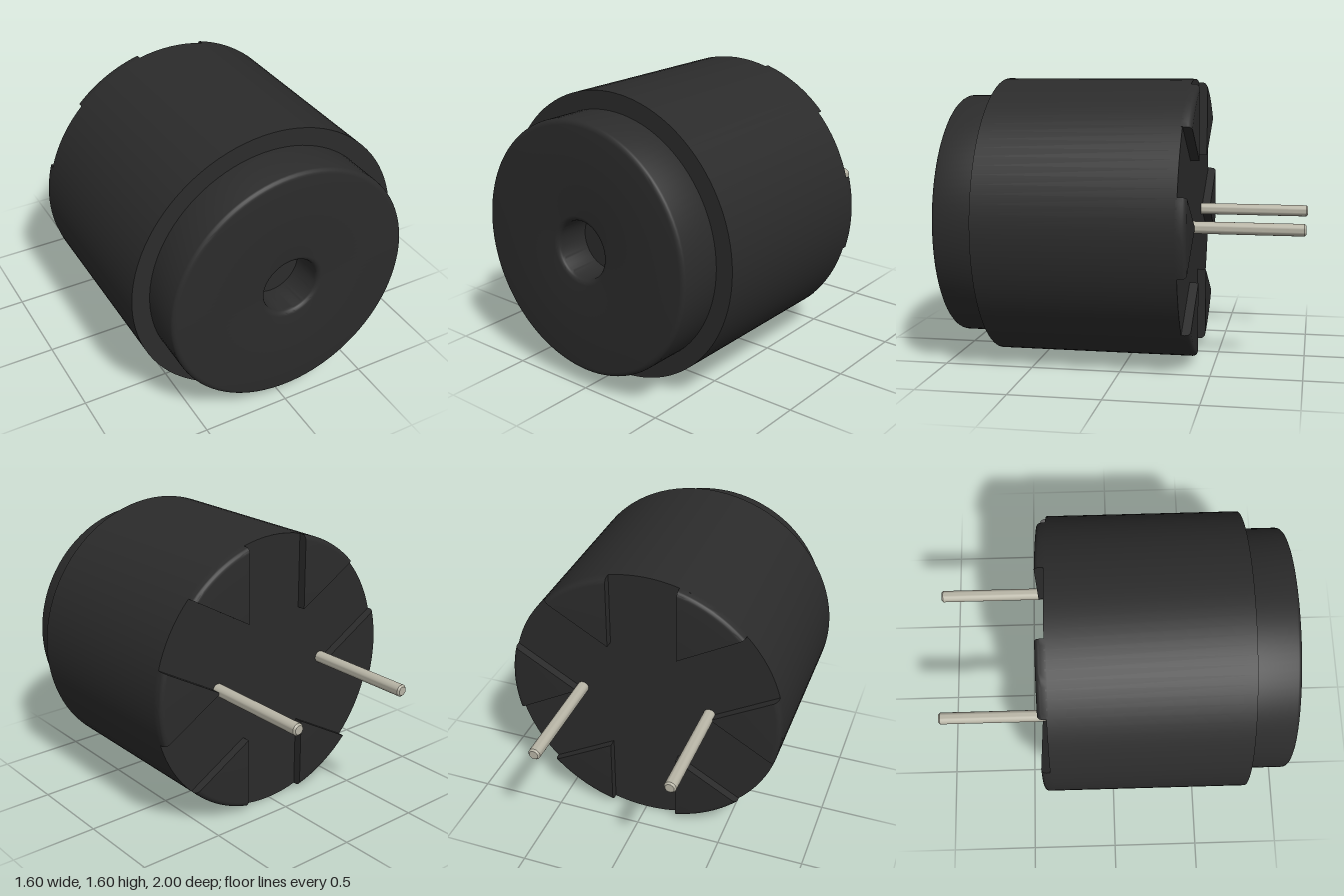
import * as THREE from 'three';
import { toCreasedNormals } from 'three/addons/utils/BufferGeometryUtils.js';

const AXIS_Y = 0.8, R = 0.8, SLOT_HALF = 0.2, FILLET = 0.03;
const FLOOR = 0.35, BACK = 0.4; // depths behind the centre

// Quarter-circle of profile points around (cx, cy), from angle a0 to a1 in degrees
function arc(cx, cy, r, a0, a1, n = 5) {
  return Array.from({ length: n + 1 }, (_, i) => {
    const a = THREE.MathUtils.degToRad(a0 + (a1 - a0) * i / n);
    return [cx + r * Math.cos(a), cy + r * Math.sin(a)];
  });
}

// Lathe whose axis points along +z, with hard corners kept sharp
function turned(profile, segments) {
  const g = new THREE.LatheGeometry(profile.map(p => new THREE.Vector2(...p)), segments);
  g.rotateX(Math.PI / 2);
  return toCreasedNormals(g, 0.6);
}

// Wedge between two slots: pointed at the middle, rounded at the outer rim
function footGeometry() {
  const n = 12, pos = [], idx = [];
  const layers = [[R, FLOOR - 0.01], ...arc(R - FILLET, BACK - FILLET, FILLET, 0, 90)];
  const count = n + 2;
  for (const [r, z] of layers) {
    pos.push(SLOT_HALF / Math.sin(Math.PI / 6), 0, z);
    const half = Math.PI / 6 - Math.asin(SLOT_HALF / r);
    for (let i = 0; i <= n; i++) {
      const a = half * (2 * i / n - 1);
      pos.push(r * Math.cos(a), r * Math.sin(a), z);
    }
  }
  for (let l = 0; l < layers.length - 1; l++) {
    for (let i = 0; i < count; i++) {
      const a = l * count + i, b = l * count + (i + 1) % count;
      idx.push(a, b, b + count, a, b + count, a + count);
    }
  }
  const top = (layers.length - 1) * count;
  for (let i = 1; i <= n; i++) idx.push(top, top + i, top + i + 1);
  const g = new THREE.BufferGeometry();
  g.setAttribute('position', new THREE.Float32BufferAttribute(pos, 3));
  g.setIndex(idx);
  g.rotateY(Math.PI);
  return toCreasedNormals(g, 0.6);
}

export function createModel() {
  const black = new THREE.MeshStandardMaterial({ color: 0x2b2b2b });
  black.name = 'black plastic';
  const metal = new THREE.MeshStandardMaterial({ color: 0xb8b5a6 });
  metal.name = 'pin metal';

  const model = new THREE.Group();
  const add = (name, geometry, material, x = 0) => {
    const mesh = new THREE.Mesh(geometry, material);
    mesh.name = name;
    mesh.position.set(x, AXIS_Y, 0);
    model.add(mesh);
    return mesh;
  };

  // Case with stepped front cap and round sound hole
  add('case', turned([
    [0, -FLOOR], [R, -FLOOR], [R, 0.75], [0.7, 0.75],
    ...arc(0.7 - FILLET, 1 - FILLET, FILLET, 0, 90),
    ...arc(0.16 + FILLET, 1 - FILLET, FILLET, 90, 180),
    [0.16, 0.8], [0, 0.8],
  ], 96), black);

  // Six feet, leaving three crossing slots
  const foot = footGeometry();
  for (let i = 0; i < 6; i++) add('foot' + (i + 1), foot, black).rotation.z = i * Math.PI / 3;

  // Two contact pins
  const pin = turned([[0, -1], [0.025, -1], [0.034, -0.99], [0.034, -0.33], [0, -0.33]], 24);
  add('leftPin', pin, metal, 0.38);
  add('rightPin', pin, metal, -0.38);
  return model;
}
